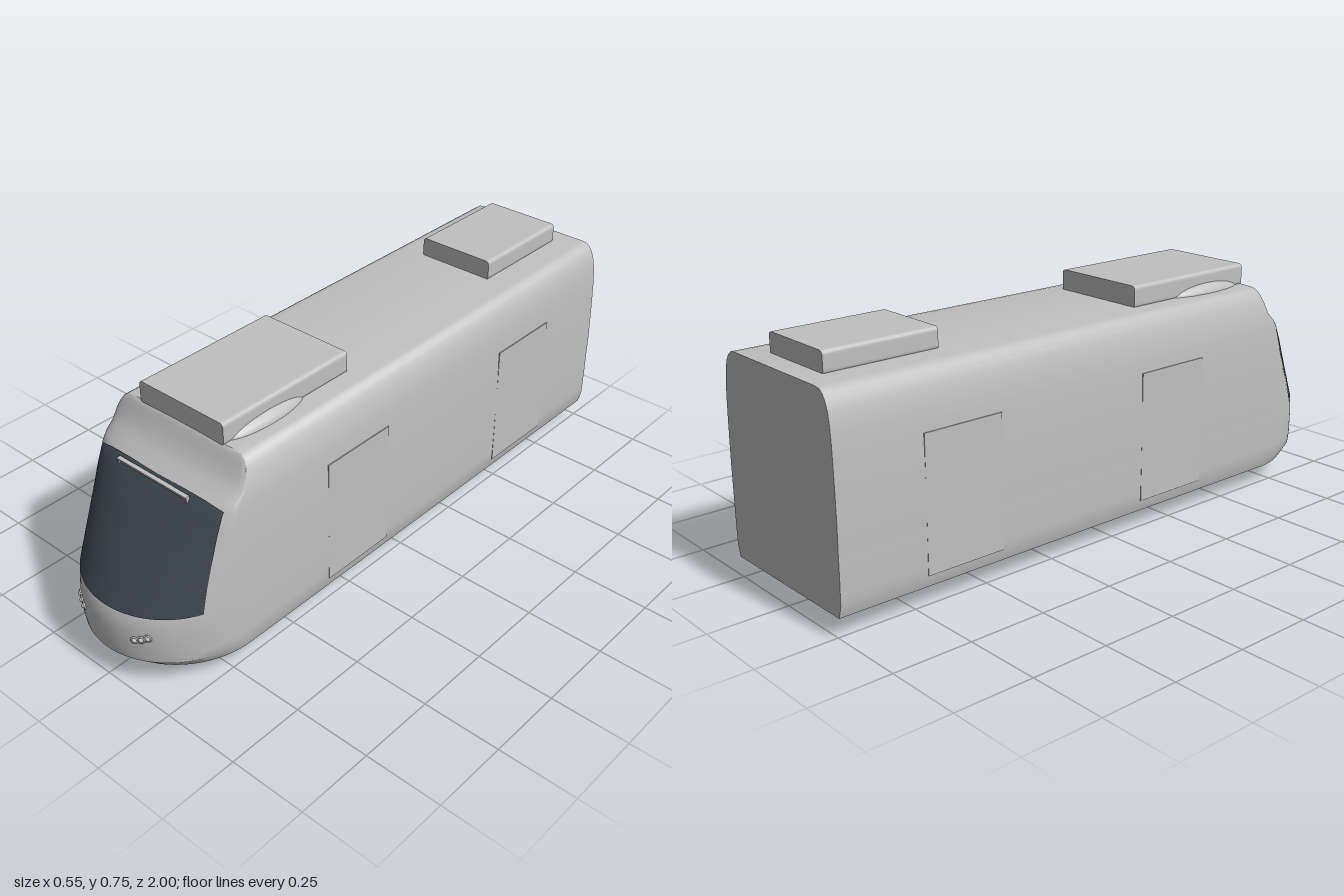
import * as THREE from 'three';
import { toCreasedNormals } from 'three/addons/utils/BufferGeometryUtils.js';

// Body levels: height, half width, nose tip z, depth of the rounded nose
const LEVELS = [
  [0.062, 0.26, 0.957, 0.27], [0.1, 0.271, 0.996, 0.28], [0.13, 0.272, 1, 0.28],
  [0.2, 0.273, 1, 0.28], [0.235, 0.273, 0.995, 0.272], [0.26, 0.273, 0.984, 0.26],
  [0.34, 0.274, 0.938, 0.215], [0.41, 0.273, 0.893, 0.17], [0.49, 0.271, 0.837, 0.115],
  [0.55, 0.269, 0.788, 0.07], [0.575, 0.267, 0.762, 0.055], [0.6, 0.265, 0.72, 0.035],
  [0.635, 0.259, 0.692, 0.02], [0.66, 0.25, 0.678, 0.015], [0.677, 0.239, 0.669, 0.012],
  [0.687, 0.225, 0.663, 0.01], [0.69, 0.205, 0.66, 0.01],
];

function levelAt(y) {
  let i = 0;
  while (i < LEVELS.length - 2 && LEVELS[i + 1][0] < y) i++;
  const t = (y - LEVELS[i][0]) / (LEVELS[i + 1][0] - LEVELS[i][0]);
  return LEVELS[i].map((v, k) => THREE.MathUtils.lerp(v, LEVELS[i + 1][k], t));
}

// z of the nose surface at a given x and y
function noseZ(x, y) {
  const [, w, tip, depth] = levelAt(y);
  return tip - depth * (1 - Math.sqrt(Math.max(0, 1 - (x / w) ** 2)));
}

function makeGeometry(pos, index) {
  const g = new THREE.BufferGeometry();
  g.setAttribute('position', new THREE.Float32BufferAttribute(pos, 3));
  g.setIndex(index);
  return g;
}

function bodyGeometry() {
  const pos = [], index = [], seg = 48, n = seg + 3;
  for (const [y, w, tip, depth] of LEVELS) {
    pos.push(w, y, -1);
    for (let i = 0; i <= seg; i++) {
      const a = (i / seg) * Math.PI;
      pos.push(w * Math.cos(a), y, tip - depth + depth * Math.sin(a));
    }
    pos.push(-w, y, -1);
  }
  const rows = LEVELS.length;
  for (let r = 0; r < rows - 1; r++) {
    for (let c = 0; c < n; c++) {
      const a = r * n + c, b = r * n + ((c + 1) % n);
      index.push(a, a + n, b, b, a + n, b + n);
    }
  }
  // floor and roof caps
  const floor = pos.length / 3;
  pos.push(0, LEVELS[0][0], 0, 0, LEVELS[rows - 1][0], 0);
  for (let c = 0; c < n; c++) {
    const d = (c + 1) % n, top = (rows - 1) * n;
    index.push(floor, c, d, floor + 1, top + d, top + c);
  }
  return toCreasedNormals(makeGeometry(pos, index), 0.5);
}

function windscreenGeometry() {
  const pos = [], index = [], cols = 32, rows = 28;
  for (let r = 0; r <= rows; r++) {
    for (let c = 0; c <= cols; c++) {
      const x = 0.245 * Math.sin((c / cols - 0.5) * Math.PI);
      const e = (x / 0.245) ** 4;
      const y = THREE.MathUtils.lerp(0.257 + 0.005 * e, 0.577 - 0.02 * e, r / rows);
      pos.push(x, y, noseZ(x, y) + 0.005);
    }
  }
  const n = cols + 1;
  for (let r = 0; r < rows; r++) {
    for (let c = 0; c < cols; c++) {
      const a = r * n + c;
      index.push(a, a + 1, a + n, a + 1, a + n + 1, a + n);
    }
  }
  const g = makeGeometry(pos, index);
  g.computeVertexNormals();
  return g;
}

// Roof box with rounded long edges
function roofUnitGeometry(half, y0, y1, length) {
  const s = new THREE.Shape(), r = 0.014;
  s.moveTo(-half + r, y0);
  s.lineTo(half - r, y0);
  s.quadraticCurveTo(half, y0, half, y0 + r);
  s.lineTo(half, y1 - r);
  s.quadraticCurveTo(half, y1, half - r, y1);
  s.lineTo(-half + r, y1);
  s.quadraticCurveTo(-half, y1, -half, y1 - r);
  s.lineTo(-half, y0 + r);
  s.quadraticCurveTo(-half, y0, -half + r, y0);
  return new THREE.ExtrudeGeometry(s, { depth: length, bevelEnabled: false, curveSegments: 5 });
}

export function createModel() {
  const model = new THREE.Group();
  model.name = 'tram';
  const paint = new THREE.MeshStandardMaterial({ color: 0xc0c0c0, name: 'light grey' });
  const glass = new THREE.MeshStandardMaterial({ color: 0x3e4750, name: 'dark glass', side: THREE.DoubleSide });

  function add(name, geometry, x = 0, y = 0, z = 0, material = paint) {
    const m = new THREE.Mesh(geometry, material);
    m.name = name;
    m.position.set(x, y, z);
    model.add(m);
    return m;
  }
  const box = (w, h, d) => new THREE.BoxGeometry(w, h, d);

  add('body', bodyGeometry());
  add('windscreen', windscreenGeometry(), 0, 0, 0, glass);

  // roof equipment
  add('frontRoofUnit', roofUnitGeometry(0.165, 0.685, 0.756, 0.495), 0, 0, 0.165);
  add('rearRoofUnit', roofUnitGeometry(0.133, 0.685, 0.752, 0.37), 0, 0, -0.93);

  // destination frame above the windscreen
  add('signBar', box(0.28, 0.006, 0.014), 0, 0.569, 0.778);
  for (const s of [-1, 1]) add('signBracket', box(0.005, 0.017, 0.012), s * 0.1375, 0.561, 0.777);

  // bogie frame just below the floor
  add('bogieFrame', box(0.29, 0.03, 0.4), 0, 0.072, 0.56);

  const wheelProfile = [[0, -0.011], [0.06, -0.011], [0.06, -0.006], [0.054, -0.003], [0.052, 0.011], [0, 0.011]]
    .map(([r, h]) => new THREE.Vector2(r, h));
  const wheel = toCreasedNormals(new THREE.LatheGeometry(wheelProfile, 32), 0.5);
  const lens = new THREE.SphereGeometry(0.008, 14, 10);
  const rim = new THREE.TorusGeometry(0.01, 0.0028, 8, 20);
  const fairing = new THREE.SphereGeometry(1, 28, 16);

  for (const s of [-1, 1]) {
    // streamlined fairings beside the front roof unit
    add('roofFairing', fairing, s * 0.145, 0.685, 0.49).scale.set(0.047, 0.037, 0.155);

    // wheels, flange on the inner side
    for (const z of [0.745, 0.375]) add('wheel', wheel, s * 0.158, 0.062, z).rotation.z = -s * Math.PI / 2;

    // headlight clusters
    for (const [x, y] of [[0.107, 0.178], [0.125, 0.184], [0.142, 0.192]]) {
      const z = noseZ(x, y) + 0.002;
      add('headlight', lens, s * x, y, z);
      add('headlightRim', rim, s * x, y, z).rotation.y = s * 0.45;
    }

    // door leaves, barely proud of the sides
    for (const z of [0.2325, -0.585]) add('door', box(0.006, 0.415, 0.265), s * 0.2705, 0.3075, z);
  }
  return model;
}
